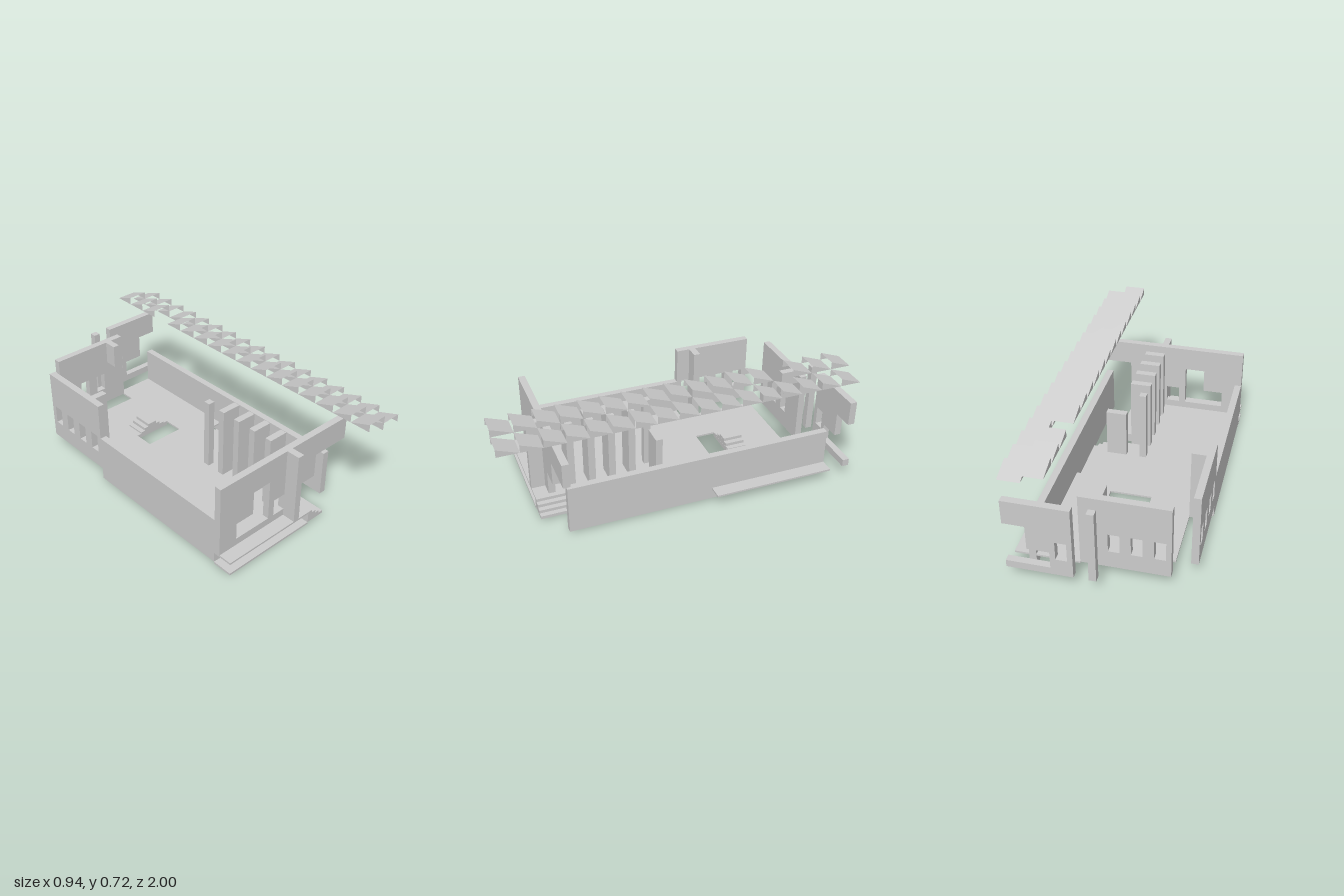
import * as THREE from 'three';

const U = 2 / 17;      // plan module
const T = U / 3;       // wall thickness
const FLOOR = 0.083, TOP = 0.507;

const mat = new THREE.MeshStandardMaterial({ color: 0xcccccc, flatShading: true });
const thin = new THREE.MeshStandardMaterial({ color: 0xcccccc, flatShading: true, side: THREE.DoubleSide });

function add(parent, name, geometry, material = mat) {
  const m = new THREE.Mesh(geometry, material);
  m.name = name;
  parent.add(m);
  return m;
}

// Box given by its limits
function block(parent, name, x0, x1, y0, y1, z0, z1) {
  const m = add(parent, name, new THREE.BoxGeometry(x1 - x0, y1 - y0, z1 - z0));
  m.position.set((x0 + x1) / 2, (y0 + y1) / 2, (z0 + z1) / 2);
  return m;
}

const vec = pts => pts.map(([x, y]) => new THREE.Vector2(x, y));
const rect = (x0, x1, y0, y1) => [[x0, y0], [x1, y0], [x1, y1], [x0, y1]];

// Outline with holes, extruded along +z
function panel(outline, holes, depth) {
  const s = new THREE.Shape(vec(outline));
  holes.forEach(h => s.holes.push(new THREE.Path(vec(h))));
  return new THREE.ExtrudeGeometry(s, { depth, bevelEnabled: false });
}

// Hollow flight of four steps, one module wide, descending towards +x
function stairModule() {
  const g = new THREE.Group();
  const step = U / 4, rise = 0.0176;
  const pts = [[0, 0], [0, 4 * rise]];
  for (let i = 0; i < 4; i++) {
    pts.push([(i + 1) * step, (4 - i) * rise], [(i + 1) * step, (3 - i) * rise]);
  }
  for (const z of [0.0005, U - 0.0005]) {
    add(g, 'stairSide', new THREE.ShapeGeometry(new THREE.Shape(vec(pts))), thin).position.z = z;
  }
  const pos = [];
  for (let i = 0; i < pts.length - 1; i++) {
    const [a, b] = pts[i], [c, d] = pts[i + 1];
    pos.push(a, b, 0, a, b, U, c, d, U, a, b, 0, c, d, U, c, d, 0);
  }
  add(g, 'stairTreads', fromTriangles(pos), thin);
  return g;
}

function fromTriangles(pos) {
  const geo = new THREE.BufferGeometry();
  geo.setAttribute('position', new THREE.Float32BufferAttribute(pos, 3));
  geo.computeVertexNormals();
  return geo;
}

function stairs(parent, name, x, y, zStart, count) {
  for (let i = 0; i < count; i++) {
    const s = stairModule();
    s.name = name;
    s.position.set(x, y, zStart - (i + 1) * U);
    parent.add(s);
  }
}

// Open roof tile: slope falling towards -z with two triangular sides
function tileGeometry() {
  const h = 0.0425;
  return fromTriangles([
    0, h, U, U, h, U, U, 0, 0, 0, h, U, U, 0, 0, 0, 0, 0,
    0, 0, 0, 0, 0, U, 0, h, U,
    U, 0, 0, U, h, U, U, 0, U,
  ]);
}

export function createModel() {
  const model = new THREE.Group();
  model.name = 'house';

  // Floor slab with stair opening (drawn in x, -z)
  const slab = add(model, 'floor', panel([
    [-4 * U, -6.5 * U], [U, -6.5 * U], [U, -1.5 * U], [2 * U, -1.5 * U],
    [2 * U, 1.5 * U], [4 * U, 1.5 * U], [4 * U, 7.5 * U], [U, 7.5 * U],
    [U, 6.5 * U], [-3 * U, 6.5 * U], [-3 * U, 2.5 * U], [-4 * U, 2.5 * U],
  ], [rect(-U, U, 2.5 * U, 3.5 * U)], 0.0105));
  slab.rotation.x = -Math.PI / 2;
  slab.position.y = 0.0725;
  block(model, 'frontFooting', -4 * U, U, 0, 0.012, 5.5 * U, 6.5 * U);

  // Front wall: stepped opening, small window and stepped right half
  const stepHole = [[-3 * U, 0.125], [-U, 0.125], [-U, 0.367], [-2 * U, 0.367], [-2 * U, 0.225], [-3 * U, 0.225]];
  add(model, 'frontWall', panel([
    [-4 * U, FLOOR], [U, FLOOR], [U, 0.225], [2 * U, 0.225],
    [2 * U, 0.367], [4 * U, 0.367], [4 * U, TOP], [-4 * U, TOP],
  ], [stepHole, rect(-2 * T, 0, 0.125, 0.225)], T)).position.z = 5.5 * U;
  block(model, 'frontFin', 0, T, FLOOR, TOP, 5.5 * U + T, 6.5 * U);

  // Back walls
  const win = i => rect(-0.325 + i * U, -0.265 + i * U, 0.185, 0.295);
  add(model, 'backWall', panel(rect(-3 * U, U, FLOOR, TOP), [win(0), win(1), win(2)], T))
    .position.z = -7.5 * U;
  add(model, 'backOuterWall', panel([
    [U, FLOOR], [4 * U, FLOOR], [4 * U, 0.125], [2 * U, 0.125], [2 * U, 0.225],
    [3 * U, 0.225], [3 * U, 0.367], [4 * U, 0.367], [4 * U, TOP], [U, TOP],
  ], [win(4)], T)).position.z = -8.5 * U;
  block(model, 'backColumn', 0, T, FLOOR, TOP, -8.5 * U, -8.5 * U + T);
  block(model, 'backLintel', 0, T, 0.367, TOP, -7.5 * U + T, -6.5 * U);

  // Side walls: tall windowed part and two low long walls
  const sideHoles = [0, 1, 2, 3].map(i => {
    const c = 3 * U + i * U;
    return rect(c - 0.03, c + 0.03, 0.185, 0.295);
  });
  const side = add(model, 'tallSideWall', panel(rect(2.5 * U, 6.5 * U, FLOOR, TOP), sideHoles, T));
  side.rotation.y = Math.PI / 2;
  side.position.x = -4 * U;
  block(model, 'crossWall', -4 * U + T, -3 * U, FLOOR, TOP, -3.5 * U, -3.5 * U + T);
  block(model, 'lowSideWall', -4 * U, -4 * U + T, 0.013, 0.293, -2.5 * U, 5.5 * U);
  block(model, 'longSideWall', 3 * U, 3 * U + T, 0.013, 0.293, -7.5 * U, 5.5 * U);

  // Row of short inner walls, then a column and a lower wall
  for (let i = 0; i < 4; i++) {
    const z = (1.5 + i) * U;
    block(model, 'innerPier', 0, U, FLOOR, TOP, z, z + T);
  }
  block(model, 'innerColumn', 0, T, FLOOR, TOP, 0.5 * U, 0.5 * U + T);
  block(model, 'innerLowWall', U, 2 * U, FLOOR, 0.367, 0.5 * U, 0.5 * U + T);

  // Side stairs and the two-way steps beside the floor opening
  stairs(model, 'frontStairs', U, 0.0126, 6.5 * U, 4);
  stairs(model, 'sideStairs', 2 * U, 0.0126, 1.5 * U, 3);
  stairs(model, 'innerSteps', 0, 0.057, -3.5 * U, 1);
  const mirrored = stairModule();
  mirrored.name = 'innerSteps';
  mirrored.scale.x = -1;
  mirrored.position.set(0, 0.057, -4.5 * U);
  model.add(mirrored);

  // Two rows of roof tiles, one tile left out of the upper row
  const roof = new THREE.Group();
  roof.name = 'roof';
  const tile = tileGeometry();
  for (let row = 0; row < 2; row++) {
    for (let i = 0; i < 17; i++) {
      if (row === 0 && i === 3) continue;
      add(roof, 'roofTile', tile, thin)
        .position.set((2 + row) * U, 0.6775 - row * 0.0425, -1 + i * U);
    }
  }
  model.add(roof);
  return model;
}
